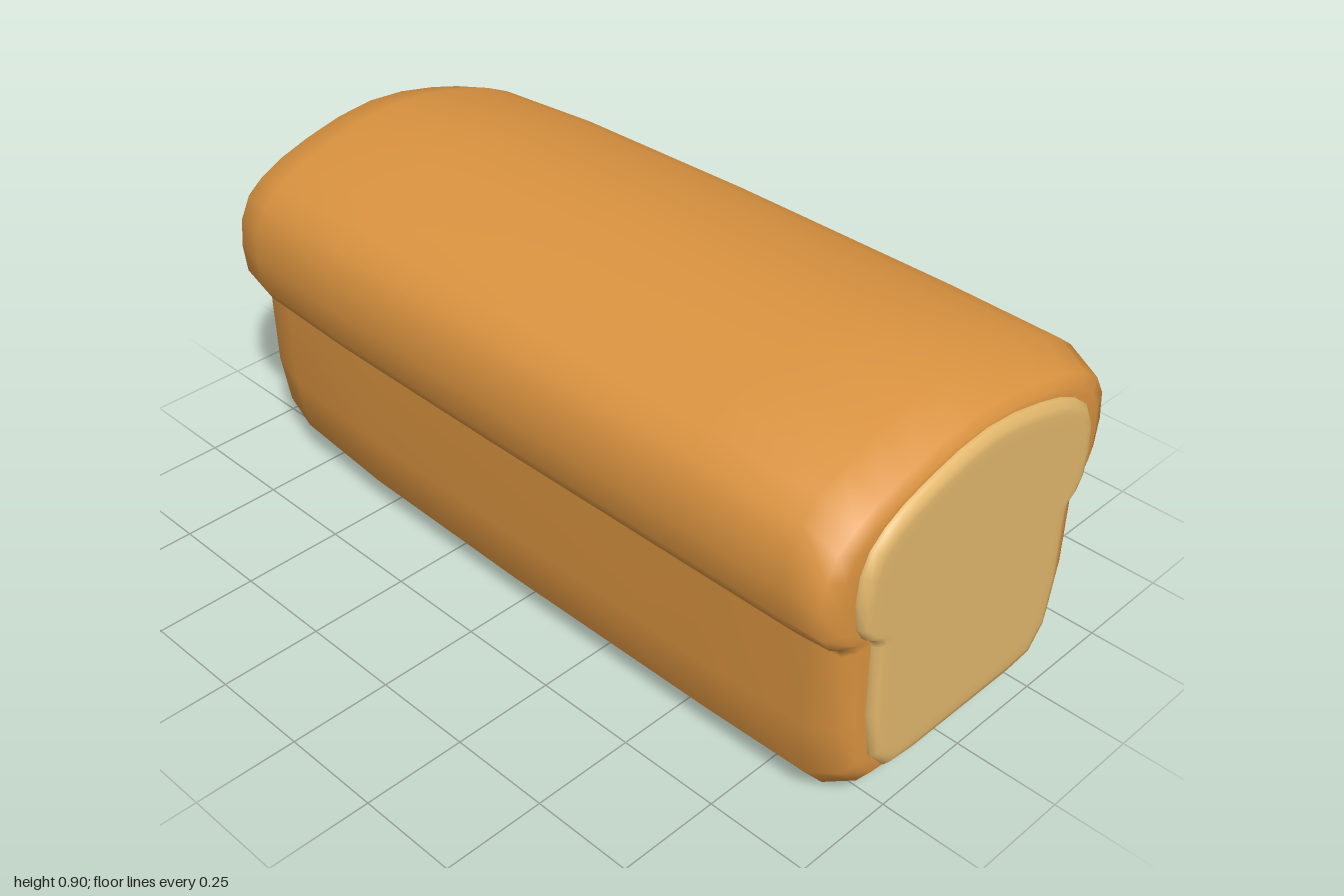
import * as THREE from 'three';

// Half cross-section of the loaf as [z, y], from bottom centre up to the crown
const HALF = [
  [0, 0], [0.21, 0], [0.305, 0.01], [0.362, 0.078], [0.386, 0.23], [0.39, 0.46],
  [0.398, 0.485], [0.43, 0.508], [0.454, 0.55], [0.463, 0.63], [0.455, 0.71],
  [0.425, 0.77], [0.375, 0.81], [0.31, 0.842], [0.22, 0.87], [0.11, 0.895], [0, 0.905],
];
const MID_Y = 0.46;

// Closed outline: up the +z side, then mirrored down the -z side
const OUTLINE = [
  ...HALF,
  ...HALF.slice(1, -1).reverse().map(([z, y]) => [-z, y]),
];

// Smooth loft along x; each ring is [x, z scale, y scale], with both ends capped
function loft(rings, capStartX, capEndX) {
  const n = OUTLINE.length;
  const positions = [];
  const index = [];
  for (const [x, sz, sy] of rings) {
    for (const [z, y] of OUTLINE) positions.push(x, MID_Y + (y - MID_Y) * sy, z * sz);
  }
  const start = rings.length * n;
  const end = start + 1;
  positions.push(capStartX, MID_Y, 0, capEndX, MID_Y, 0);

  for (let j = 0; j < n; j++) {
    const k = (j + 1) % n;
    for (let i = 0; i < rings.length - 1; i++) {
      const a = i * n + j, b = i * n + k;
      const c = a + n, d = b + n;
      index.push(a, c, b, b, c, d);
    }
    const last = (rings.length - 1) * n;
    index.push(start, j, k, end, last + k, last + j);
  }
  const geometry = new THREE.BufferGeometry();
  geometry.setAttribute('position', new THREE.Float32BufferAttribute(positions, 3));
  geometry.setIndex(index);
  geometry.computeVertexNormals();
  return geometry;
}

export function createModel() {
  const crustMaterial = new THREE.MeshStandardMaterial({ color: 0xda9340 });
  crustMaterial.name = 'golden crust';
  const crumbMaterial = new THREE.MeshStandardMaterial({ color: 0xe2b76c });
  crumbMaterial.name = 'pale crumb';

  // Crust: rounded heel at -x, tight rolled rim around the cut at +x
  const crust = new THREE.Mesh(loft([
    [-0.999, 0.56, 0.42],
    [-0.985, 0.68, 0.60],
    [-0.95, 0.79, 0.77],
    [-0.89, 0.89, 0.88],
    [-0.79, 0.95, 0.94],
    [-0.5, 0.985, 0.98],
    [0, 1, 1],
    [0.6, 1, 1],
    [0.88, 0.998, 0.985],
    [0.96, 0.97, 0.86],
    [0.977, 0.88, 0.82],
    [0.978, 0.78, 0.78],
  ], -1, 0.975), crustMaterial);
  crust.name = 'crust';

  // Crumb: cut face standing slightly proud of the crust, with a soft edge
  const crumb = new THREE.Mesh(loft([
    [0.95, 0.79, 0.79],
    [0.97, 0.802, 0.802],
    [0.986, 0.8, 0.8],
    [0.997, 0.775, 0.775],
    [1, 0.74, 0.74],
    [1, 0.68, 0.68],
  ], 0.95, 1), crumbMaterial);
  crumb.name = 'cutFace';

  const loaf = new THREE.Group();
  loaf.name = 'breadLoaf';
  loaf.add(crust, crumb);
  return loaf;
}
